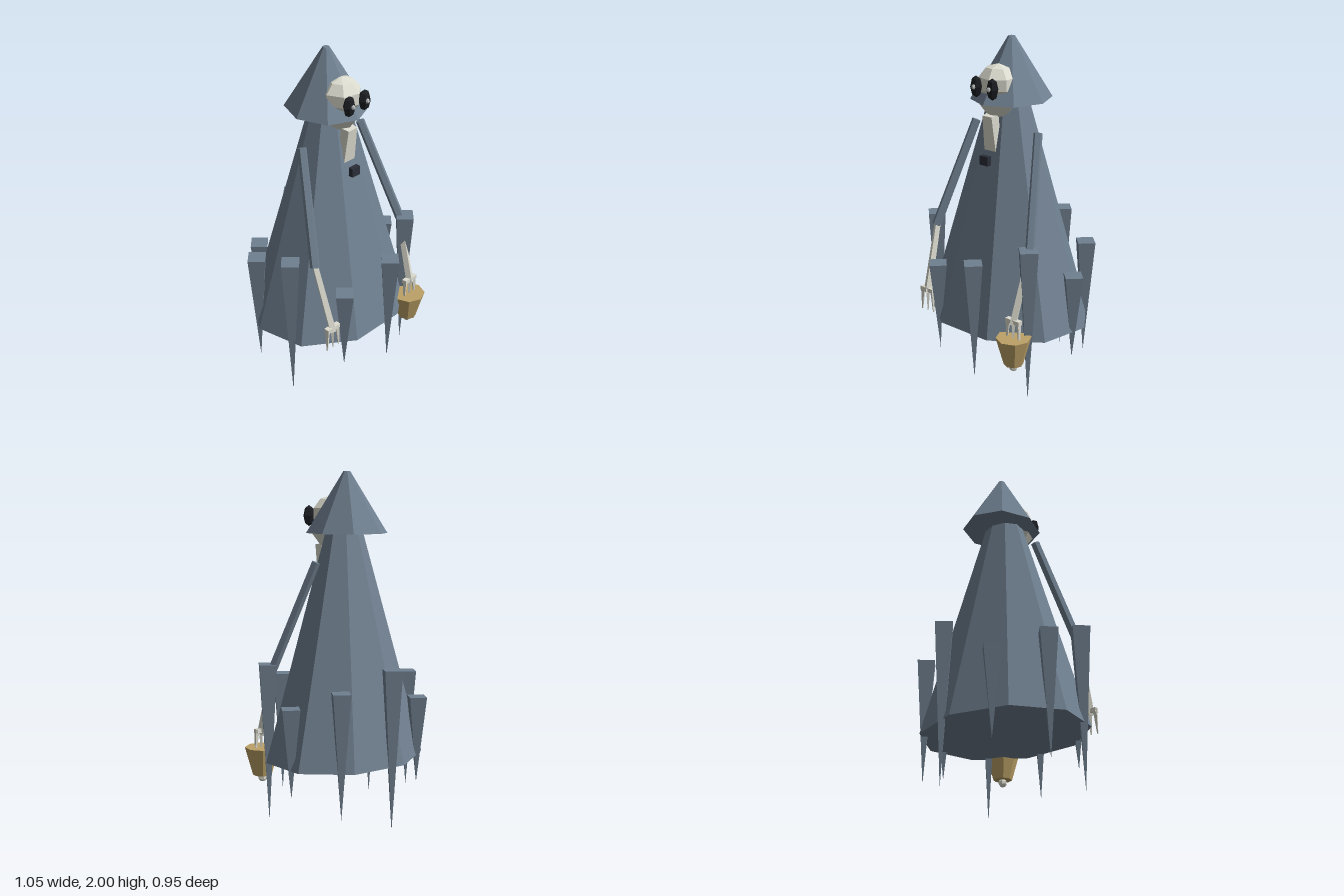
import * as THREE from 'three';

export function createModel() {
  const root = new THREE.Group();
  const mat = (name, color) => {
    const m = new THREE.MeshStandardMaterial({ color, flatShading: true });
    m.name = name;
    return m;
  };
  const slate = mat('slate cloth', 0x708090);
  const bone = mat('bone', 0xdcdcd0);
  const gold = mat('brass', 0xbda268);
  const black = mat('eye black', 0x1c1e22);
  const dark = mat('dark clasp', 0x2a2e38);
  const glint = mat('pupil grey', 0xb4b8b8);

  const CX = -0.015; // the figure's own centre line

  const add = (name, geo, material, x = 0, y = 0, z = 0, parent = root) => {
    const m = new THREE.Mesh(geo, material);
    m.name = name;
    m.position.set(x, y, z);
    parent.add(m);
    return m;
  };
  // Tapered rod from point a (radius ra) to point b (radius rb)
  const rod = (name, a, b, ra, rb, sides, material) => {
    const A = new THREE.Vector3(...a), B = new THREE.Vector3(...b);
    const dir = B.clone().sub(A);
    const m = add(name, new THREE.CylinderGeometry(rb, ra, dir.length(), sides), material);
    m.position.copy(A).add(B).multiplyScalar(0.5);
    m.quaternion.setFromUnitVectors(new THREE.Vector3(0, 1, 0), dir.normalize());
    return m;
  };

  // Robe: nine-sided elliptical cone with a closed base
  const robe = add('robe', new THREE.CylinderGeometry(0.108, 0.508, 1.33, 9, 1, false, Math.PI), slate, CX, 1.035, -0.002);
  robe.scale.z = 0.843;

  // Hood
  const hood = add('hood', new THREE.CylinderGeometry(0.02, 0.24, 0.345, 8), slate, CX, 1.8275, -0.023);
  hood.scale.x = 0.925;

  // Skull, jaw and eyes
  const skull = add('skull', new THREE.SphereGeometry(0.115, 7, 5), bone, CX, 1.762, 0.09);
  skull.scale.y = 0.9;
  add('jaw', new THREE.CylinderGeometry(0.115, 0.06, 0.075, 8), bone, CX, 1.62, 0.09);
  for (const s of [-1, 1]) {
    const ex = CX + s * 0.058;
    const eye = add('eye', new THREE.SphereGeometry(0.04, 6, 4), black, ex, 1.75, 0.205);
    eye.scale.set(1, 1.5, 0.75);
    add('pupil', new THREE.SphereGeometry(0.014, 6, 4), glint, ex - s * 0.004, 1.752, 0.229);
  }

  // Beard: box slightly narrowed at its front edges, leaning forward at the top
  const beardGeo = new THREE.BoxGeometry(0.082, 0.2, 0.05);
  const p = beardGeo.attributes.position;
  for (let i = 0; i < p.count; i++) {
    if (p.getZ(i) > 0 && p.getY(i) > 0) p.setX(i, p.getX(i) * 0.8);
  }
  const beard = add('beard', beardGeo, bone, CX - 0.003, 1.49, 0.145);
  beard.rotation.x = 0.12;
  add('clasp', new THREE.BoxGeometry(0.058, 0.052, 0.028), dark, CX - 0.004, 1.34, 0.197);

  // Arms, forearms and hands
  for (const s of [-1, 1]) {
    const at = (x, y, z) => [CX + s * x, y, z];
    rod('sleeve', at(0.35, 0.89, 0.24), at(0.225, 1.5, 0.02), 0.028, 0.026, 5, slate);
    rod('forearm', at(0.346, 0.9, 0.235), at(0.328, 0.5, 0.355), 0.02, 0.024, 4, bone);
    const [hx] = at(0.327, 0, 0);
    add('palm', new THREE.BoxGeometry(0.095, 0.025, 0.03), bone, hx, 0.52, 0.35);
    for (const f of [-1, 0, 1]) {
      rod('finger', [hx + f * 0.037, 0.53, 0.35], [hx + f * 0.045, 0.385, 0.355], 0.016, 0.004, 4, bone);
    }
  }

  // Hand bell held on the left side
  const bell = new THREE.Group();
  bell.name = 'bell';
  bell.position.set(0.31, 0, 0.347);
  root.add(bell);
  add('bellBody', new THREE.CylinderGeometry(0.1, 0.055, 0.165, 8), gold, 0, 0.338, 0, bell);
  add('bellClapper', new THREE.SphereGeometry(0.026, 6, 5), bone, 0, 0.238, 0, bell);

  // Ring of nine hanging shards in three repeating lengths
  const lengths = [0.51, 0.92, 0.71];
  for (let k = 0; k < 9; k++) {
    const a = (k * 40 * Math.PI) / 180;
    const shard = new THREE.ConeGeometry(0.07, lengths[k % 3], 4);
    shard.rotateX(Math.PI);
    add('shard', shard, slate, CX + 0.47 * Math.cos(a), 0.462, 0.41 * Math.sin(a));
  }

  return root;
}
